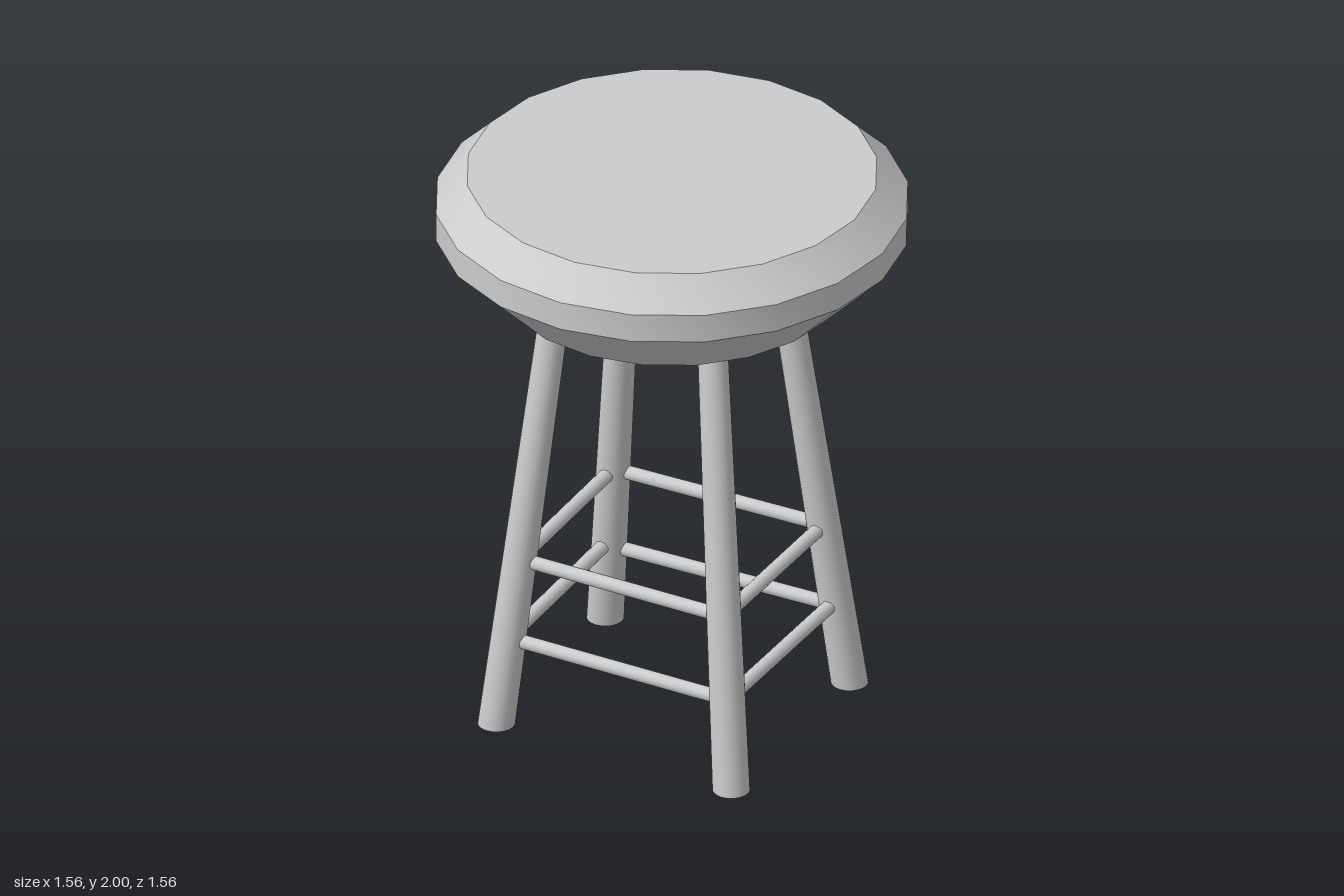
import * as THREE from 'three';
import { toCreasedNormals } from 'three/addons/utils/BufferGeometryUtils.js';

const material = new THREE.MeshStandardMaterial({ color: 0xcccccc });
const LEG_TOP = 1.585;

// Foot and head centres (x, z) of each splayed leg
const legs = {
  frontLeft: { foot: [0.443, 0.42], head: [0.288, 0.26] },
  backLeft: { foot: [0.453, -0.387], head: [0.288, -0.23] },
  backRight: { foot: [-0.453, -0.387], head: [-0.292, -0.23] },
  frontRight: { foot: [-0.441, 0.395], head: [-0.292, 0.253] },
};

// Point on a leg's axis at height y
function axisPoint({ foot, head }, y) {
  const t = y / LEG_TOP;
  return new THREE.Vector3(
    THREE.MathUtils.lerp(foot[0], head[0], t), y,
    THREE.MathUtils.lerp(foot[1], head[1], t));
}

// Tapered round leg, sheared so both ends stay level
function makeLeg(name, leg) {
  const geometry = new THREE.CylinderGeometry(0.05, 0.062, LEG_TOP, 20);
  geometry.translate(0, LEG_TOP / 2, 0);
  const pos = geometry.attributes.position;
  for (let i = 0; i < pos.count; i++) {
    const c = axisPoint(leg, pos.getY(i));
    pos.setXYZ(i, pos.getX(i) + c.x, c.y, pos.getZ(i) + c.z);
  }
  geometry.computeVertexNormals();
  const mesh = new THREE.Mesh(toCreasedNormals(geometry, 0.6), material);
  mesh.name = name + 'Leg';
  return mesh;
}

// Thin round rung joining two legs
function makeRung(name, legA, legB, y) {
  const a = axisPoint(legA, y), b = axisPoint(legB, y);
  const dir = b.clone().sub(a);
  const mesh = new THREE.Mesh(
    new THREE.CylinderGeometry(0.024, 0.024, dir.length(), 14), material);
  mesh.position.copy(a).add(b).multiplyScalar(0.5);
  mesh.quaternion.setFromUnitVectors(new THREE.Vector3(0, 1, 0), dir.normalize());
  mesh.name = name;
  return mesh;
}

export function createModel() {
  const stool = new THREE.Group();
  stool.name = 'stool';

  // Bevelled twenty-sided seat
  const profile = [[0, 1.594], [0.573, 1.594], [0.78, 1.8], [0.78, 1.9], [0.677, 2], [0, 2]]
    .map(([r, y]) => new THREE.Vector2(r, y));
  const seat = new THREE.Mesh(
    toCreasedNormals(new THREE.LatheGeometry(profile, 20), 0.5), material);
  seat.name = 'seat';
  stool.add(seat);

  for (const [name, leg] of Object.entries(legs)) stool.add(makeLeg(name, leg));

  // Two rungs on each side
  const sides = [
    ['front', legs.frontLeft, legs.frontRight, 0.315],
    ['back', legs.backLeft, legs.backRight, 0.295],
    ['left', legs.frontLeft, legs.backLeft, 0.315],
    ['right', legs.frontRight, legs.backRight, 0.315],
  ];
  for (const [name, a, b, low] of sides) {
    stool.add(makeRung(name + 'LowerRung', a, b, low));
    stool.add(makeRung(name + 'UpperRung', a, b, 0.607));
  }
  return stool;
}
